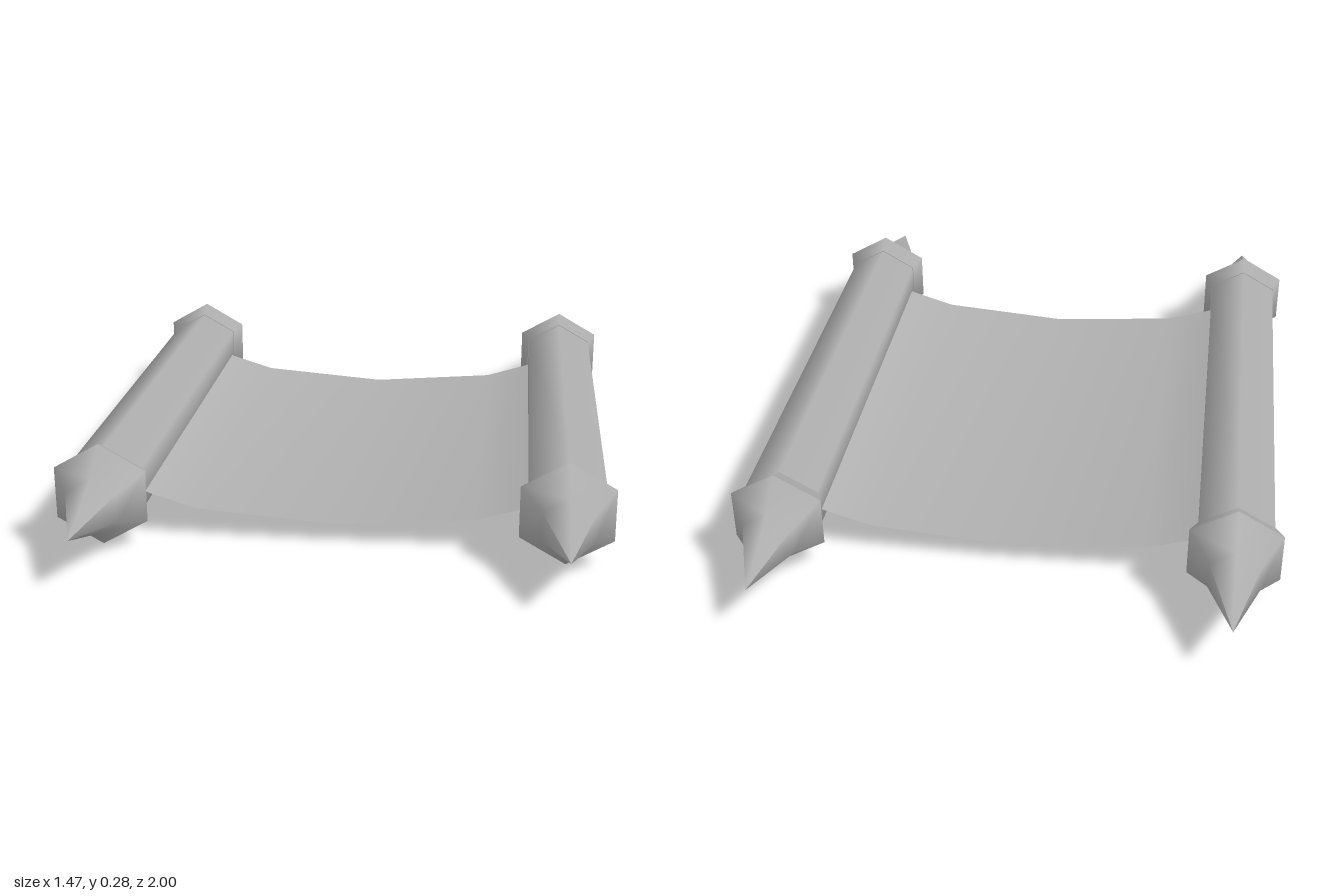
import * as THREE from 'three';

export function createModel() {
  const group = new THREE.Group();
  const grey = new THREE.MeshStandardMaterial({ color: 0xb0b0b0 });
  grey.name = 'plain grey';
  const greySheet = new THREE.MeshStandardMaterial({ color: 0xb0b0b0, side: THREE.DoubleSide });
  greySheet.name = 'parchment grey';

  const AXIS_Y = 0.142, ROD_X = 0.613;

  // six-sided turned piece with its axis along z; profile is [radius, z]
  const turned = (name, profile) => {
    const geo = new THREE.LatheGeometry(profile.map(([r, z]) => new THREE.Vector2(r, z)), 6);
    geo.rotateX(Math.PI / 2);
    const mesh = new THREE.Mesh(geo, grey);
    mesh.name = name;
    return mesh;
  };

  for (const [side, sx] of [['left', 1], ['right', -1]]) {
    const roller = new THREE.Group();
    roller.name = side + 'Roller';
    roller.position.set(sx * ROD_X, AXIS_Y, 0);
    roller.add(turned('rod', [[0.115, -0.655], [0.115, 0.655]]));

    // flared collar and pointed spike at both ends
    for (const [end, turn] of [['front', 0], ['back', Math.PI]]) {
      const finial = new THREE.Group();
      finial.name = end + 'Finial';
      finial.rotation.y = turn;
      finial.add(turned('collar', [[0, 0.65], [0.117, 0.65]]));
      finial.add(turned('flare', [[0.117, 0.65], [0.142, 0.7]]));
      finial.add(turned('spike', [[0.142, 0.7], [0.078, 0.79], [0, 1]]));
      roller.add(finial);
    }
    group.add(roller);
  }

  // sagging sheet between the rollers, its ends tucked into the rods
  const sag = [[-0.6, 0.155], [-0.5, 0.118], [-0.377, 0.08], [0, 0.05], [0.377, 0.08], [0.5, 0.118], [0.6, 0.155]];
  const sheetGeo = new THREE.PlaneGeometry(1.2, 1.245, sag.length - 1, 1);
  sheetGeo.rotateX(-Math.PI / 2);
  const pos = sheetGeo.attributes.position;
  for (let i = 0; i < pos.count; i++) {
    const [x, y] = sag[i % sag.length];
    pos.setXYZ(i, x, y, pos.getZ(i));
  }
  sheetGeo.computeVertexNormals();
  const sheet = new THREE.Mesh(sheetGeo, greySheet);
  sheet.name = 'sheet';
  group.add(sheet);

  return group;
}
